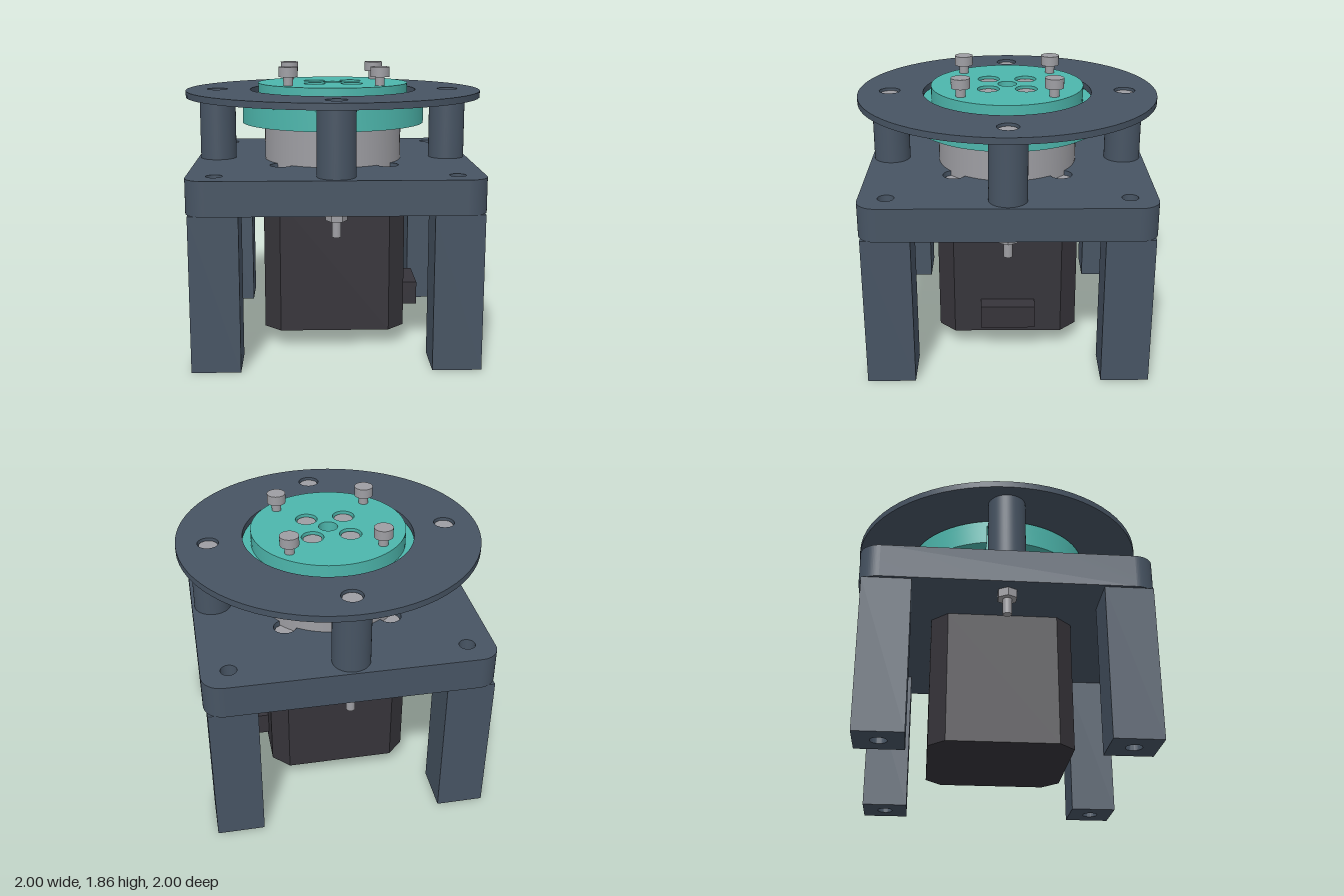
import * as THREE from 'three';
import { toCreasedNormals } from 'three/addons/utils/BufferGeometryUtils.js';

function material(name, color) {
  const m = new THREE.MeshStandardMaterial({ color });
  m.name = name;
  return m;
}

export function createModel() {
  const slate = material('slate', 0x475463);
  const teal = material('teal', 0x4db6ac);
  const steel = material('steel', 0x9e9ea3);
  const charcoal = material('charcoal', 0x36343a);
  const model = new THREE.Group();
  model.name = 'motorStand';

  function add(name, geometry, mat, parent = model) {
    const mesh = new THREE.Mesh(geometry, mat);
    mesh.name = name;
    parent.add(mesh);
    return mesh;
  }

  // Upright cylinder between two heights
  function rod(name, r, y0, y1, x, z, mat, sides = 32) {
    const geometry = new THREE.CylinderGeometry(r, r, y1 - y0, sides);
    const mesh = add(name, sides < 8 ? toCreasedNormals(geometry, 0.5) : geometry, mat);
    mesh.position.set(x, (y0 + y1) / 2, z);
    return mesh;
  }

  // Horizontal plate: outline with round holes [x, z, radius], between two heights
  function plate(name, shape, holes, y0, y1, mat) {
    for (const [x, z, r] of holes) {
      const path = new THREE.Path();
      path.absarc(x, -z, r, 0, Math.PI * 2, true);
      shape.holes.push(path);
    }
    const geometry = new THREE.ExtrudeGeometry(shape, {
      depth: y1 - y0, bevelEnabled: false, curveSegments: 36,
    });
    geometry.rotateX(-Math.PI / 2);
    const mesh = add(name, toCreasedNormals(geometry, 0.5), mat);
    mesh.position.y = y0;
    return mesh;
  }

  function disc(r) {
    const s = new THREE.Shape();
    s.absarc(0, 0, r, 0, Math.PI * 2, false);
    return s;
  }

  function polygon(points) {
    return new THREE.Shape(points.map(([x, y]) => new THREE.Vector2(x, y)));
  }

  function roundedSquare(h, r) {
    const s = new THREE.Shape();
    s.absarc(h - r, h - r, r, 0, Math.PI / 2);
    s.absarc(r - h, h - r, r, Math.PI / 2, Math.PI);
    s.absarc(r - h, r - h, r, Math.PI, Math.PI * 1.5);
    s.absarc(h - r, r - h, r, Math.PI * 1.5, Math.PI * 2);
    s.closePath();
    return s;
  }

  const corners = (d) => [[d, d], [-d, d], [-d, -d], [d, -d]];
  const sides = (d) => [[d, 0], [0, d], [-d, 0], [0, -d]];
  const withRadius = (list, r) => list.map(([x, z]) => [x, z, r]);

  // Base plate and legs, drilled through at the corners
  plate('basePlate', roundedSquare(0.93, 0.13), [
    ...withRadius(corners(0.755), 0.052),
    ...withRadius(corners(0.35), 0.075),
  ], 1.0, 1.22, slate);
  for (const [x, z] of corners(0.755)) {
    const h = 0.155;
    const leg = plate('leg', polygon(corners(h)), [[0, 0, 0.052]], 0, 1.0, slate);
    leg.position.x = x;
    leg.position.z = z;
  }

  // Motor with chamfered corners and a side connector
  const a = 0.468, b = 0.36;
  plate('motorBody', polygon([
    [a, -b], [a, b], [b, a], [-b, a], [-a, b], [-a, -b], [-b, -a], [b, -a],
  ]), [], 0.115, 1.0, charcoal);
  const connector = add('connector', new THREE.BoxGeometry(0.13, 0.155, 0.36), charcoal);
  connector.position.set(0.515, 0.28, 0);
  rod('gearbox', 0.468, 1.0, 1.48, 0, 0, steel, 72);
  rod('motorShaft', 0.057, 1.45, 1.62, 0, 0, charcoal);
  for (const [x, z] of corners(0.35)) rod('motorScrew', 0.068, 1.0, 1.19, x, z, steel);

  // Turning hub: slotted flange, lip and raised disc
  const slot = 0.117, R = 0.622, t = Math.asin(slot / R);
  const flange = new THREE.Shape();
  flange.absarc(0, 0, R, t, Math.PI - t);
  flange.lineTo(-0.5, slot);
  flange.lineTo(-0.5, -slot);
  flange.absarc(0, 0, R, Math.PI + t, Math.PI * 2 - t);
  flange.lineTo(0.5, -slot);
  flange.lineTo(0.5, slot);
  flange.closePath();
  plate('hubFlange', flange, [[0, 0, 0.063]], 1.472, 1.6, teal);
  plate('hubLip', disc(R), [[0, 0, 0.063]], 1.6, 1.637, teal);
  plate('hubDisc', disc(0.51), [
    [0, 0, 0.063], ...withRadius(corners(0.125), 0.073),
  ], 1.637, 1.738, teal);
  for (const [x, z] of corners(0.125)) rod('hubScrew', 0.062, 1.63, 1.722, x, z, steel);
  for (const [x, z] of corners(0.3)) {
    rod('clampScrewShank', 0.032, 1.7, 1.8, x, z, steel);
    rod('clampScrewHead', 0.062, 1.795, 1.86, x, z, steel);
  }

  // Top ring on four posts, bolted through the base plate
  plate('topRing', disc(1), [
    [0, 0, 0.565], ...withRadius(sides(0.79), 0.07),
  ], 1.65, 1.692, slate);
  for (const [x, z] of sides(0.79)) {
    rod('post', 0.122, 1.22, 1.65, x, z, slate, 48);
    rod('boltHead', 0.062, 1.64, 1.675, x, z, steel);
    rod('boltEnd', 0.029, 0.84, 1.0, x, z, steel, 24);
    rod('nut', 0.067, 0.945, 1.0, x, z, steel, 6).rotation.y = Math.PI / 2;
  }

  return model;
}
